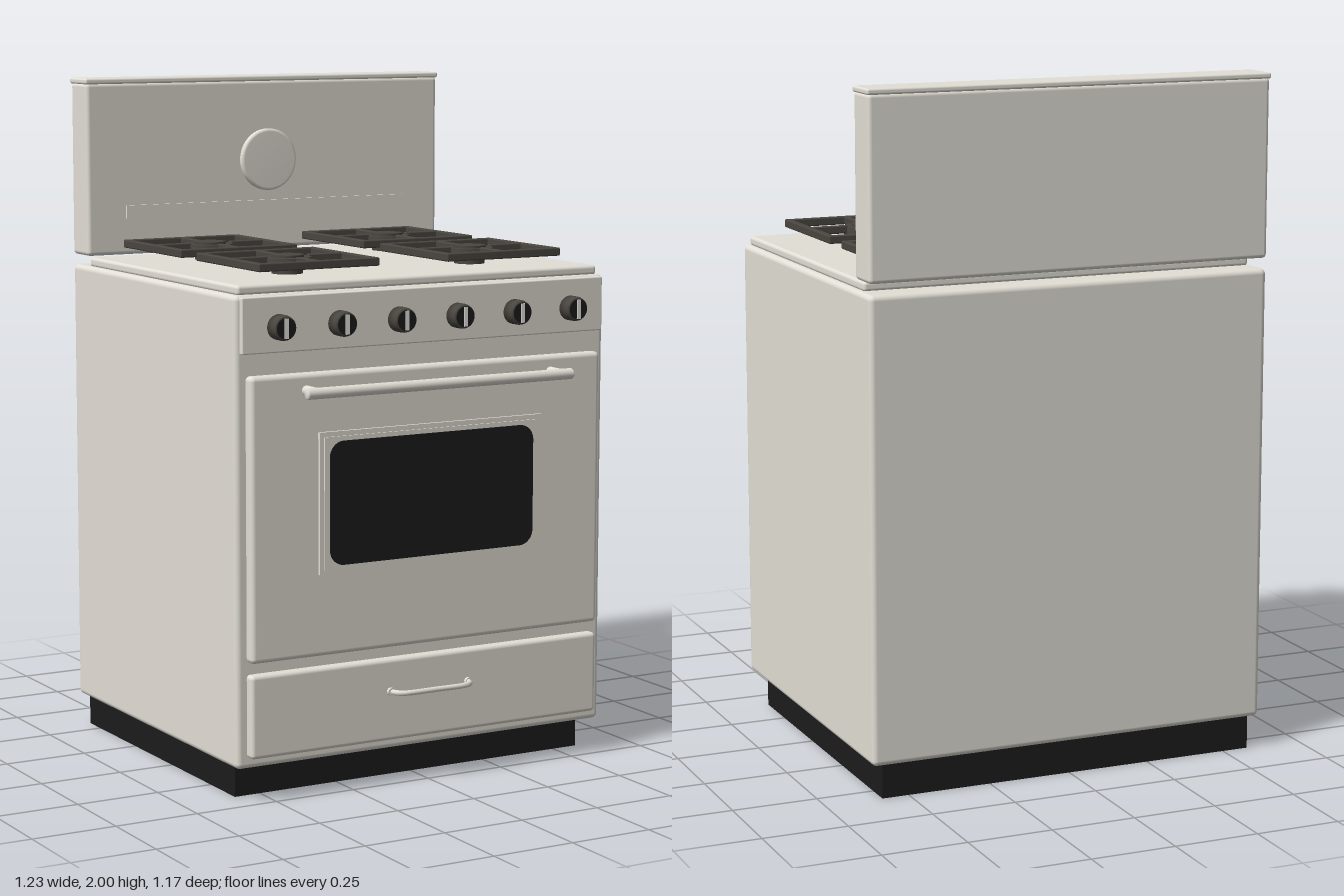
import * as THREE from 'three';
import { RoundedBoxGeometry } from 'three/addons/geometries/RoundedBoxGeometry.js';

export function createModel() {
  const stove = new THREE.Group();
  stove.name = 'stove';
  const material = (name, color) => {
    const m = new THREE.MeshStandardMaterial({ color });
    m.name = name;
    return m;
  };
  const enamel = material('enamel', 0xe3dfd6);
  const iron = material('cast iron', 0x4a4640);
  const black = material('black', 0x1c1c1c);
  const white = material('white mark', 0xf4f2ee);

  const add = (name, geometry, mat, x = 0, y = 0, z = 0, parent = stove) => {
    const mesh = new THREE.Mesh(geometry, mat);
    mesh.name = name;
    mesh.position.set(x, y, z);
    parent.add(mesh);
    return mesh;
  };
  // Boxes given by their extents; a radius rounds the edges
  const box = (name, mat, [x0, x1], [y0, y1], [z0, z1], radius = 0, parent = stove) => {
    const size = [x1 - x0, y1 - y0, z1 - z0];
    const g = radius ? new RoundedBoxGeometry(...size, 3, radius) : new THREE.BoxGeometry(...size);
    return add(name, g, mat, (x0 + x1) / 2, (y0 + y1) / 2, (z0 + z1) / 2, parent);
  };
  const wide = (w) => [-w, w];

  // Cabinet on a hollow plinth
  box('body', enamel, wide(0.612), [0.098, 1.437], [-0.585, 0.475], 0.016);
  box('plinthFront', black, wide(0.58), [0, 0.1], [0.392, 0.4]);
  box('plinthBack', black, wide(0.58), [0, 0.1], [-0.572, -0.564]);
  for (const s of [-1, 1]) {
    const xs = s < 0 ? [-0.58, -0.572] : [0.572, 0.58];
    box('plinthSide', black, xs, [0, 0.1], [-0.565, 0.393]);
  }
  box('cooktop', enamel, wide(0.596), [1.434, 1.463], [-0.5, 0.46], 0.01);

  // Backsplash with cap, shelf strip and round dial
  box('backsplash', enamel, wide(0.612), [1.468, 1.986], [-0.585, -0.475], 0.012);
  box('backsplashCap', enamel, wide(0.615), [1.983, 2], [-0.588, -0.472], 0.006);
  box('backsplashStrip', enamel, wide(0.485), [1.578, 1.617], [-0.48, -0.467]);
  const dial = add('dial', new THREE.LatheGeometry([
    [0.095, 0], [0.095, 0.012], [0.092, 0.016], [0.086, 0.018], [0, 0.018],
  ].map(([x, y]) => new THREE.Vector2(x, y)), 48), enamel, 0, 1.742, -0.476);
  dial.rotation.x = Math.PI / 2;

  // Control panel and knobs
  box('controlPanel', enamel, wide(0.597), [1.274, 1.432], [0.465, 0.49], 0.004);
  const knobProfile = [
    [0, 0], [0.036, 0], [0.036, 0.03], [0.034, 0.04], [0.03, 0.045], [0, 0.045],
  ].map(([x, y]) => new THREE.Vector2(x, y));
  for (let i = 0; i < 6; i++) {
    const knob = new THREE.Group();
    knob.name = 'knob';
    knob.position.set(-0.483 + i * 0.1932, 1.346, 0.49);
    stove.add(knob);
    add('knobBody', new THREE.LatheGeometry(knobProfile, 28), iron, 0, 0, 0, knob).rotation.x = Math.PI / 2;
    add('knobFace', new THREE.CylinderGeometry(0.03, 0.03, 0.004, 28), black, 0, 0, 0.044, knob).rotation.x = Math.PI / 2;
    box('knobMark', white, wide(0.006), wide(0.028), [0.044, 0.049], 0, knob);
  }

  // Oven door with stepped window frame
  box('ovenDoor', enamel, wide(0.58), [0.404, 1.213], [0.465, 0.508], 0.014);
  box('windowFrame', enamel, wide(0.368), [0.64, 1.045], [0.5, 0.517]);
  box('windowFrameStep', enamel, wide(0.354), [0.653, 1.031], [0.5, 0.521]);
  const w = 0.338, y0 = 0.664, y1 = 1.018, r = 0.045;
  const pane = new THREE.Shape();
  pane.absarc(w - r, y0 + r, r, -Math.PI / 2, 0);
  pane.absarc(w - r, y1 - r, r, 0, Math.PI / 2);
  pane.absarc(-w + r, y1 - r, r, Math.PI / 2, Math.PI);
  pane.absarc(-w + r, y0 + r, r, Math.PI, Math.PI * 1.5);
  pane.closePath();
  add('windowPane', new THREE.ExtrudeGeometry(pane, { depth: 0.005, bevelEnabled: false }), black, 0, 0, 0.519);

  // Door handle
  const barProfile = [
    [0, -0.44], [0.012, -0.44], [0.016, -0.435], [0.016, 0.435], [0.012, 0.44], [0, 0.44],
  ].map(([x, y]) => new THREE.Vector2(x, y));
  add('doorHandleBar', new THREE.LatheGeometry(barProfile, 24), enamel, 0, 1.165, 0.571).rotation.z = Math.PI / 2;
  for (const s of [-1, 1]) {
    const post = add('doorHandlePost', new THREE.CylinderGeometry(0.015, 0.015, 0.07, 18), enamel, s * 0.405, 1.165, 0.537);
    post.rotation.x = Math.PI / 2;
  }

  // Storage drawer with bow handle
  box('drawer', enamel, wide(0.58), [0.13, 0.37], [0.465, 0.505], 0.012);
  const bow = new THREE.CatmullRomCurve3(
    [[-0.13, 0.505], [-0.122, 0.53], [-0.1, 0.545], [0, 0.547], [0.1, 0.545], [0.122, 0.53], [0.13, 0.505]]
      .map(([x, z]) => new THREE.Vector3(x, 0.275, z)));
  add('drawerHandle', new THREE.TubeGeometry(bow, 48, 0.008, 10), enamel);
  for (const s of [-1, 1]) {
    const foot = add('drawerHandleFoot', new THREE.CylinderGeometry(0.012, 0.012, 0.012, 16), enamel, s * 0.13, 0.275, 0.508);
    foot.rotation.x = Math.PI / 2;
  }

  // Four burners with square grates
  const half = 0.194, thick = 0.02, low = 1.491, high = 1.515;
  for (const x of [-0.307, 0.307]) for (const z of [-0.268, 0.217]) {
    const burner = new THREE.Group();
    burner.name = 'burner';
    burner.position.set(x, 0, z);
    stove.add(burner);
    add('burnerBase', new THREE.CylinderGeometry(0.045, 0.045, 0.025, 32), iron, 0, 1.472, 0, burner);
    add('burnerHead', new THREE.CylinderGeometry(0.07, 0.072, 0.032, 40), iron, 0, 1.494, 0, burner);
    add('burnerCap', new THREE.CylinderGeometry(0.048, 0.048, 0.008, 36), iron, 0, 1.513, 0, burner);
    for (let k = 0; k < 4; k++) {
      const side = new THREE.Group();
      side.name = 'grateSide';
      side.rotation.y = k * Math.PI / 2;
      burner.add(side);
      box('grateEdge', iron, [-half, half], [low, high], [half - thick, half], 0.004, side);
      box('grateFinger', iron, wide(0.009), [low, high], [0.066, half - thick + 0.004], 0.004, side);
    }
  }
  return stove;
}
